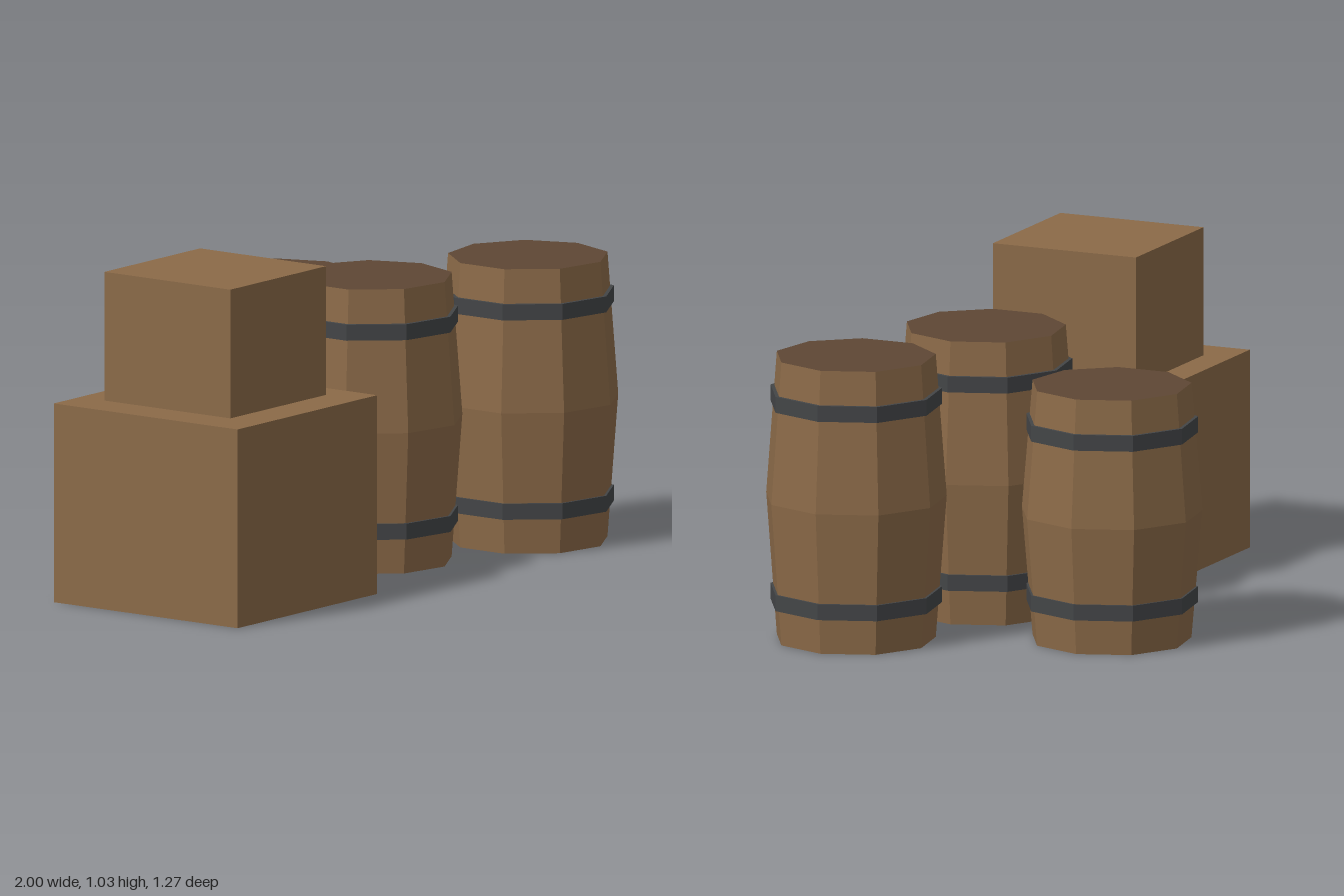
import * as THREE from 'three';

const SIDES = 9;
const START = Math.PI / 2; // puts one corner on +x

const paint = (color) => new THREE.MeshStandardMaterial({ color, flatShading: true });

function part(name, geometry, material, x, y, z) {
  const mesh = new THREE.Mesh(geometry, material);
  mesh.name = name;
  mesh.position.set(x, y, z);
  return mesh;
}

export function createModel() {
  const wood = paint(0x8b6a48);
  const lidWood = paint(0x5e4734);
  const iron = paint(0x434547);
  const model = new THREE.Group();
  model.name = 'cratesAndBarrels';

  // Two stacked crates
  model.add(part('largeCrate', new THREE.BoxGeometry(0.712, 0.624, 0.712), wood, -0.644, 0.312, 0.174));
  model.add(part('smallCrate', new THREE.BoxGeometry(0.488, 0.404, 0.488), wood, -0.623, 0.826, 0.157));

  // Bulging nine-sided barrel with a lid, a base and two hoops
  function barrel(name, x, z, height) {
    const group = new THREE.Group();
    group.name = name;
    group.position.set(x, 0, z);
    const endR = 0.25, midR = 0.284, hoopR = 0.27, hoopH = 0.05;

    const profile = [[0, 0], [endR, 0], [midR, height / 2], [endR, height]]
      .map(([r, y]) => new THREE.Vector2(r, y));
    group.add(part('staves', new THREE.LatheGeometry(profile, SIDES, START), wood, 0, 0, 0));

    const lid = new THREE.CircleGeometry(endR, SIDES).rotateX(-Math.PI / 2);
    group.add(part('lid', lid, lidWood, 0, height, 0));

    for (const [label, y] of [['lowerHoop', 0.135], ['upperHoop', height - 0.132]]) {
      const hoop = new THREE.CylinderGeometry(hoopR, hoopR, hoopH, SIDES, 1, false, START);
      group.add(part(label, hoop, iron, 0, y, 0));
    }
    model.add(group);
  }

  barrel('middleBarrel', 0.156, 0.175, 0.893);
  barrel('frontBarrel', 0.714, 0.355, 0.893);
  barrel('backBarrel', 0.381, -0.36, 0.803);

  return model;
}
